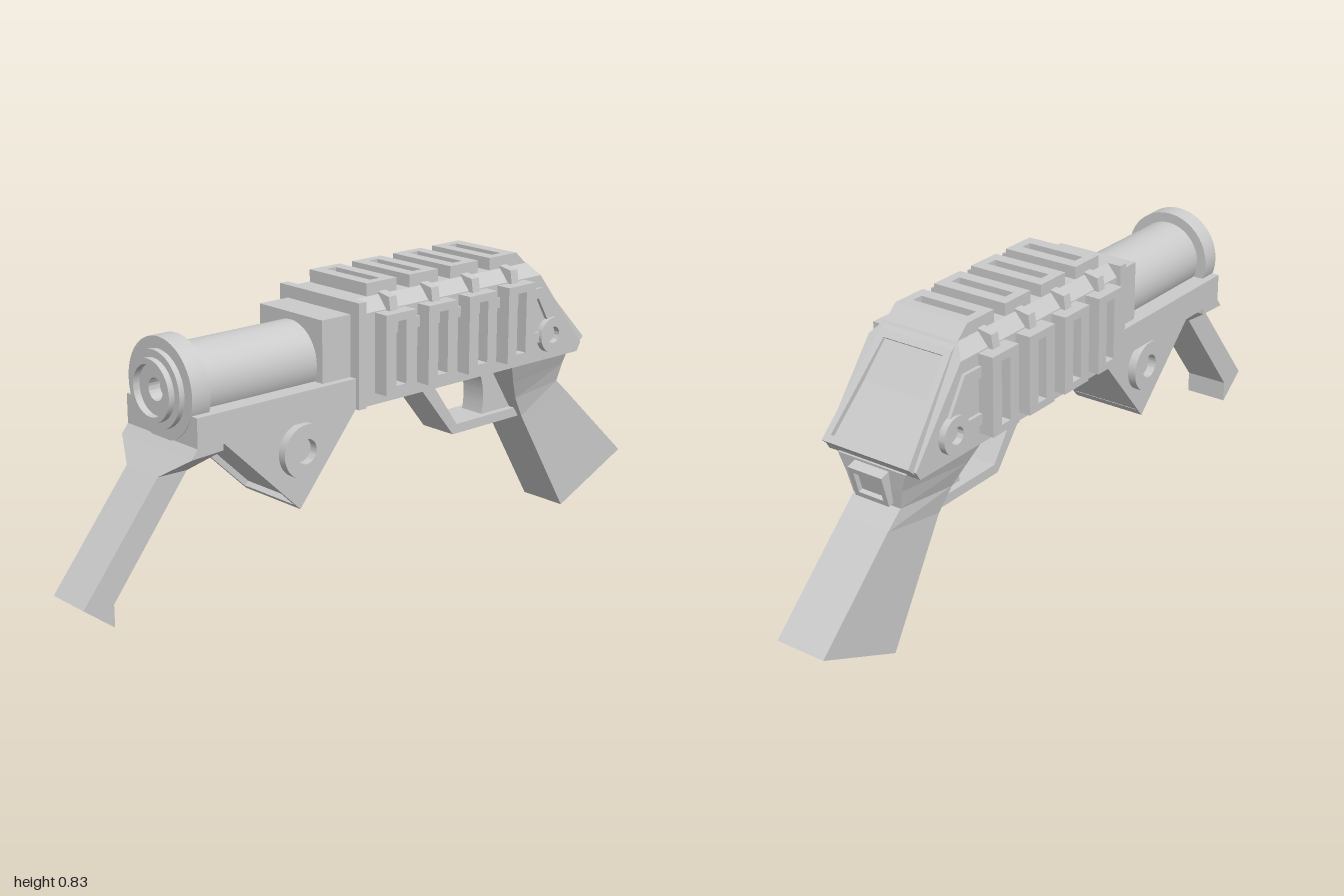
import * as THREE from 'three';
import { toCreasedNormals } from 'three/addons/utils/BufferGeometryUtils.js';

const grey = new THREE.MeshStandardMaterial({ color: 0xcccccc });

export function createModel() {
  const model = new THREE.Group();

  function add(name, geometry, parent = model) {
    const mesh = new THREE.Mesh(geometry, grey);
    mesh.name = name;
    parent.add(mesh);
  }

  const outline = (pts) => new THREE.Shape(pts.map(([a, b]) => new THREE.Vector2(a, b)));
  const rect = (w, h) => [[-w, -h], [w, -h], [w, h], [-w, h]];
  const extrude = (shape, depth) =>
    new THREE.ExtrudeGeometry(shape, { depth, bevelEnabled: false, curveSegments: 24 });

  // Side shape in (z, y), extruded across x from x0 to x1
  const slabOf = (shape, x0, x1) => extrude(shape, x1 - x0).rotateY(-Math.PI / 2).translate(x1, 0, 0);
  const slab = (profile, x0, x1) => slabOf(outline(profile), x0, x1);

  const box = (x0, x1, y0, y1, z0, z1) => new THREE.BoxGeometry(x1 - x0, y1 - y0, z1 - z0)
    .translate((x0 + x1) / 2, (y0 + y1) / 2, (z0 + z1) / 2);

  // Flat-shaded skin through rings of [x, y, z] points, with closed ends
  function loft(rings) {
    const tris = [];
    const n = rings[0].length;
    for (let r = 0; r < rings.length - 1; r++) {
      for (let i = 0; i < n; i++) {
        const j = (i + 1) % n;
        const [a, b, c, d] = [rings[r][i], rings[r][j], rings[r + 1][j], rings[r + 1][i]];
        tris.push([a, b, c], [a, c, d]);
      }
    }
    const end = rings[rings.length - 1];
    for (let i = 1; i < n - 1; i++) {
      tris.push([rings[0][0], rings[0][i + 1], rings[0][i]], [end[0], end[i], end[i + 1]]);
    }
    // Turn the faces outward if the enclosed volume is negative
    const v = (p) => new THREE.Vector3(...p);
    const volume = tris.reduce((s, [a, b, c]) => s + v(a).dot(v(b).cross(v(c))), 0);
    if (volume < 0) tris.forEach((t) => t.reverse());
    const g = new THREE.BufferGeometry();
    g.setAttribute('position', new THREE.Float32BufferAttribute(tris.flat(2), 3));
    g.computeVertexNormals();
    return g;
  }

  // Four-cornered section: front [z, y], back [z, y], half width front and back
  const section = ([fz, fy], [bz, by], wf, wb = wf) =>
    [[wf, fy, fz], [-wf, fy, fz], [-wb, by, bz], [wb, by, bz]];

  // Ring facing sideways
  function ring(z, y, r, hole, x0, x1) {
    const s = new THREE.Shape();
    s.absarc(z, y, r, 0, Math.PI * 2);
    const h = new THREE.Path();
    h.absarc(z, y, hole, 0, Math.PI * 2, true);
    s.holes.push(h);
    return toCreasedNormals(slabOf(s, x0, x1), 0.6);
  }

  // Raised frame around a sunken panel on a slanted back face
  function framedPanel(name, [tz, ty], [bz, by], wt, wb, border, depth) {
    const up = new THREE.Vector3(0, ty - by, tz - bz);
    const h = up.length() / 2;
    up.normalize();
    const left = new THREE.Vector3(-1, 0, 0);
    const out = left.clone().cross(up);
    const corners = (m) => [[-wb + m, -h + m], [wb - m, -h + m], [wt - m, h - m], [-wt + m, h - m]];
    const frame = outline(corners(0));
    frame.holes.push(outline(corners(border)));
    const group = new THREE.Group();
    group.name = name;
    add('frame', extrude(frame, depth), group);
    add('panel', extrude(outline(corners(border)), depth * 0.6), group);
    group.quaternion.setFromRotationMatrix(new THREE.Matrix4().makeBasis(left, up, out));
    group.position.set(0, (ty + by) / 2, (tz + bz) / 2).addScaledVector(out, -depth);
    model.add(group);
  }

  // Receiver with chamfered top edges
  const bodyRing = (x, top, backZ) =>
    [[x, 0.51, 0.16], [x, top, 0.16], [x, top, backZ], [x, 0.535, -0.715], [x, 0.51, -0.7]];
  add('receiver', loft([
    bodyRing(-0.148, 0.765, -0.533), bodyRing(-0.118, 0.8, -0.505),
    bodyRing(0.118, 0.8, -0.505), bodyRing(0.148, 0.765, -0.533)]));
  add('frontFlange', box(-0.16, 0.16, 0.51, 0.8, 0.15, 0.177));
  add('barrelBlock', box(-0.127, 0.127, 0.55, 0.765, 0.16, 0.275));
  add('bottomPlate', box(-0.06, 0.06, 0.49, 0.515, -0.15, 0.16));

  // Forestock and barrel
  add('forestock', slab([[0.155, 0.595], [0.155, 0.512], [0.62, 0.512], [0.62, 0.495],
    [0.72, 0.49], [0.7, 0.515], [0.7, 0.595]], -0.148, 0.148));
  const barrel = [[0, 0.2], [0.105, 0.2], [0.105, 0.645], [0.134, 0.645], [0.134, 0.702], [0.103, 0.702],
    [0.103, 0.718], [0.083, 0.718], [0.083, 0.735], [0.068, 0.735], [0.068, 0.715], [0.03, 0.715],
    [0.03, 0.68], [0, 0.68]].map(([r, z]) => new THREE.Vector2(r, z));
  add('barrel', toCreasedNormals(
    new THREE.LatheGeometry(barrel, 48).rotateX(Math.PI / 2).translate(0, 0.64, 0), 0.6));

  // Front handle, flared where it meets the forestock
  add('frontHandle', loft([
    section([0.72, 0.49], [0.62, 0.495], 0.148),
    section([0.765, 0.437], [0.675, 0.435], 0.066),
    section([1, 0.145], [0.91, 0.137], 0.066),
    section([1, 0.145], [0.91, 0.075], 0.066)]));

  // Triangular bracket with a shallow recess in its front slope
  add('bracketCore', slab([[0.585, 0.515], [0.34, 0.28], [0.345, 0.263], [0.15, 0.495], [0.15, 0.515]], -0.105, 0.105));
  add('bracketLip', slab([[0.355, 0.273], [0.345, 0.262], [0.325, 0.285], [0.335, 0.294]], -0.105, 0.105));

  // Ribs around the receiver
  const ribs = [0.055, -0.1, -0.255, -0.41];
  for (const z of ribs) {
    const top = outline(rect(0.115, 0.054));
    top.holes.push(outline(rect(0.088, 0.017)));
    add('topRib', extrude(top, 0.06).rotateX(-Math.PI / 2).translate(0, 0.775, z));
  }
  add('topRibWedge', slab([[-0.464, 0.78], [-0.464, 0.835], [-0.525, 0.78]], -0.115, 0.115));

  for (const side of [-1, 1]) {
    const span = (a, b) => (side > 0 ? [a, b] : [-b, -a]);
    const name = (part) => (side > 0 ? 'left' : 'right') + part;
    for (const z of ribs) {
      const rib = outline(rect(0.054, 0.11));
      rib.holes.push(outline(rect(0.018, 0.088)));
      add(name('Rib'), slabOf(rib, ...span(0.14, 0.193)).translate(0, 0.652, z));
      const band = loft([z - 0.014, z + 0.014].map((bz) =>
        [[0.1, 0.7], [0.165, 0.7], [0.165, 0.755], [0.158, 0.8], [0.113, 0.808], [0.1, 0.808]]
          .map(([x, y]) => [x * side, y, bz])));
      add(name('RibBand'), band);
    }
    add(name('Rail'), box(...span(0.14, 0.158), 0.7, 0.73, -0.53, 0.03));
    add(name('PivotArm'), slab([[-0.5, 0.73], [-0.53, 0.73], [-0.597, 0.625], [-0.56, 0.625]], ...span(0.14, 0.158)));
    add(name('PivotLink'), box(...span(0.14, 0.158), 0.57, 0.6, -0.54, -0.46));
    add(name('RearPivot'), ring(-0.575, 0.585, 0.052, 0.024, ...span(0.14, 0.167)));
    add(name('BracketCheek'), slab([[0.61, 0.515], [0.345, 0.262], [0.15, 0.495], [0.15, 0.515]], ...span(0.105, 0.115)));
    add(name('BracketPivot'), ring(0.342, 0.427, 0.074, 0.034, ...span(0.11, 0.14)));
  }

  // Slanted back plate and the small plate below it
  framedPanel('backPlate', [-0.525, 0.785], [-0.735, 0.548], 0.115, 0.14, 0.02, 0.035);
  framedPanel('gripBackPlate', [-0.738, 0.5], [-0.712, 0.41], 0.055, 0.055, 0.015, 0.035);

  // Grip, flaring out to the receiver width
  add('grip', loft([
    section([-0.43, 0.515], [-0.71, 0.515], 0.14, 0.11),
    section([-0.468, 0.45], [-0.703, 0.46], 0.112, 0.09),
    section([-0.505, 0.39], [-0.695, 0.405], 0.088, 0.077),
    section([-0.545, 0.325], [-0.745, 0.36], 0.076),
    section([-0.735, 0], [-1, 0.12], 0.076)]));

  // Trigger and its guard
  const trigger = new THREE.Shape();
  trigger.moveTo(-0.375, 0.515);
  trigger.quadraticCurveTo(-0.435, 0.45, -0.412, 0.345);
  trigger.lineTo(-0.55, 0.345);
  trigger.lineTo(-0.55, 0.515);
  add('trigger', toCreasedNormals(slabOf(trigger, -0.04, 0.04), 0.6));
  add('triggerGuard', slab([[-0.14, 0.512], [-0.14, 0.49], [-0.275, 0.322], [-0.56, 0.322],
    [-0.56, 0.35], [-0.29, 0.35], [-0.175, 0.512]], -0.06, 0.06));

  return model;
}
